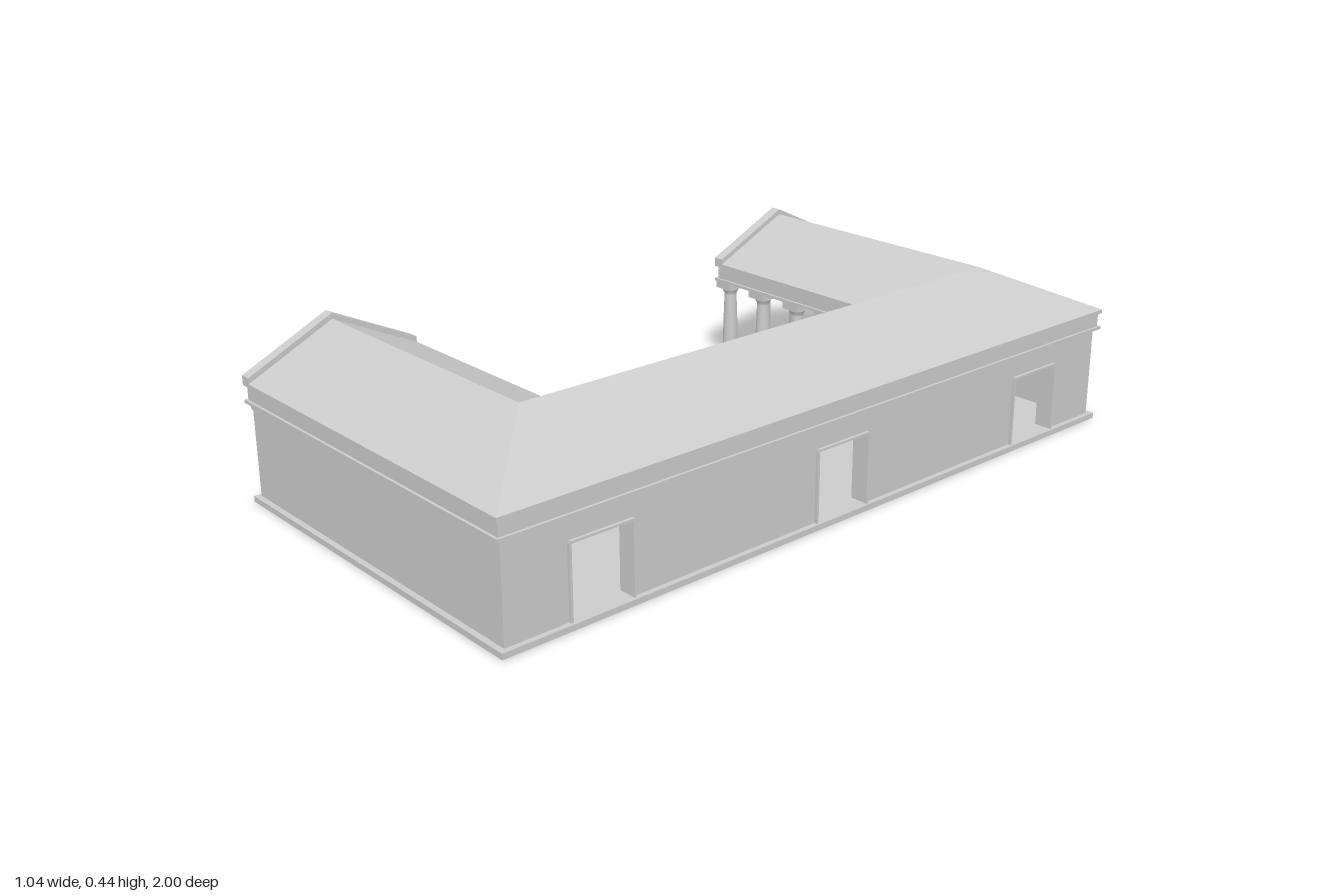
import * as THREE from 'three';

const FLOOR = 0.015, BEAM = 0.26, EAVE = 0.315, RIDGE = 0.428;
const X = 0.52, Z = 1, IN_X = 0.04, IN_Z = 0.53, MID_Z = 0.765, RIDGE_X = 0.28;

export function createModel() {
  const model = new THREE.Group();
  const mat = new THREE.MeshStandardMaterial({ color: 0xcccccc });
  const flat = new THREE.MeshStandardMaterial({ color: 0xcccccc, flatShading: true });

  const add = (name, geo, parent = model, material = flat) => {
    const mesh = new THREE.Mesh(geo, material);
    mesh.name = name;
    parent.add(mesh);
    return mesh;
  };
  const box = (name, x0, x1, y0, y1, z0, z1, parent) =>
    add(name, new THREE.BoxGeometry(x1 - x0, y1 - y0, z1 - z0), parent)
      .position.set((x0 + x1) / 2, (y0 + y1) / 2, (z0 + z1) / 2);

  // U-shaped plan outline, open towards -x, pulled in by d
  const outline = (d) => [
    [-X + d, -Z + d], [X - d, -Z + d], [X - d, Z - d], [-X + d, Z - d],
    [-X + d, IN_Z + d], [IN_X + d, IN_Z + d], [IN_X + d, -IN_Z - d], [-X + d, -IN_Z - d],
  ].map(([x, z]) => new THREE.Vector2(x, z));

  // Layer of the plan between two heights; a width makes it a hollow ring
  const layer = (name, d, y0, y1, width) => {
    const shape = new THREE.Shape(outline(d));
    if (width) shape.holes.push(new THREE.Path(outline(d + width)));
    const geo = new THREE.ExtrudeGeometry(shape, { depth: y1 - y0, bevelEnabled: false });
    add(name, geo.rotateX(-Math.PI / 2).translate(0, y0, 0));
  };
  layer('base', 0, 0, FLOOR);
  layer('architraveBand', 0, BEAM, 0.268, 0.062);
  layer('frieze', 0.007, 0.268, 0.305, 0.05);
  layer('corniceAndCeiling', 0, 0.305, EAVE);

  // Long rear wall with three doorways
  const doors = [-0.73, 0, 0.73], doorHalf = 0.086, doorTop = 0.2;
  const wall = new THREE.Shape();
  wall.moveTo(-0.985, FLOOR);
  for (const z of doors) {
    wall.lineTo(z - doorHalf, FLOOR).lineTo(z - doorHalf, doorTop);
    wall.lineTo(z + doorHalf, doorTop).lineTo(z + doorHalf, FLOOR);
  }
  wall.lineTo(0.985, FLOOR).lineTo(0.985, BEAM + 0.008).lineTo(-0.985, BEAM + 0.008);
  add('longWall', new THREE.ExtrudeGeometry(wall, { depth: 0.04, bevelEnabled: false })
    .rotateY(Math.PI / 2).translate(0.466, 0, 0));

  // Thin linings standing slightly proud of the doorways
  for (const z of doors) {
    const lining = new THREE.Group();
    lining.name = 'doorLining';
    model.add(lining);
    for (const s of [-1, 1]) {
      const edge = z + s * doorHalf;
      box('doorJamb', 0.464, 0.514, FLOOR, doorTop, edge - 0.003, edge + 0.003, lining);
    }
    box('doorLintel', 0.464, 0.514, doorTop - 0.003, doorTop + 0.003, z - doorHalf, z + doorHalf, lining);
  }

  // Wing outer walls with a small cap at the open end
  for (const s of [-1, 1]) {
    const z = s * 0.965;
    box('wingWall', -0.51, 0.467, FLOOR, BEAM + 0.008, z - 0.02, z + 0.02);
    box('wallEndCap', -0.517, -0.47, 0.24, BEAM, z - 0.021, z + 0.021);
  }

  // Columns: tapered shaft, flared capital and square slab
  const profile = [
    [0, 0], [0.0225, 0], [0.0222, 0.06], [0.021, 0.12], [0.018, 0.205],
    [0.0185, 0.21], [0.023, 0.218], [0.027, 0.226], [0, 0.226],
  ].map(([r, y]) => new THREE.Vector2(r, y));
  const shaftGeo = new THREE.LatheGeometry(profile, 20);
  const slabGeo = new THREE.BoxGeometry(0.06, 0.02, 0.06);
  const addColumn = (x, z) => {
    const column = new THREE.Group();
    column.name = 'column';
    column.position.set(x, FLOOR, z);
    add('shaft', shaftGeo, column, mat);
    add('capitalSlab', slabGeo, column).position.y = 0.235;
    model.add(column);
  };
  const colX = IN_X + 0.033, colZ = IN_Z + 0.033, step = 0.14;
  for (let i = 1; i < 8; i++) addColumn(colX, -colZ + (i * colZ) / 4);
  for (const s of [-1, 1]) {
    for (let i = 0; i < 5; i++) addColumn(colX - i * step, s * colZ);
    for (let i = 1; i < 3; i++) addColumn(colX - 4 * step, s * (colZ + i * step));
  }

  // Hipped roof: outer eave, ridge and inner eave swept round the U
  const endX = -0.49;
  const station = (xo, xr, xi, s) => [
    [xo, EAVE, s * Z], [xr, RIDGE, s * MID_Z], [xi, EAVE, s * IN_Z],
  ];
  const stations = [
    station(endX, endX, endX, -1), station(X, RIDGE_X, IN_X, -1),
    station(X, RIDGE_X, IN_X, 1), station(endX, endX, endX, 1),
  ];
  const verts = [];
  const tri = (...p) => p.forEach((v) => verts.push(...v));
  for (let k = 0; k < 3; k++) {
    const a = stations[k], b = stations[k + 1];
    for (let i = 0; i < 3; i++) {
      const j = (i + 1) % 3;
      tri(a[i], a[j], b[i]);
      tri(a[j], b[j], b[i]);
    }
  }
  const [first, last] = [stations[0], stations[3]];
  tri(first[0], first[2], first[1]);
  tri(last[0], last[1], last[2]);
  const roof = new THREE.BufferGeometry();
  roof.setAttribute('position', new THREE.Float32BufferAttribute(verts, 3));
  roof.computeVertexNormals();
  add('roof', roof);

  // Raking cornices framing the recessed gables
  const half = Z - MID_Z;
  const rake = new THREE.Shape([
    [-half, EAVE], [-half + 0.03, EAVE], [0, 0.414], [half - 0.03, EAVE],
    [half, EAVE], [half, 0.33], [0, 0.443], [-half, 0.33],
  ].map(([u, y]) => new THREE.Vector2(u, y)));
  const rakeGeo = new THREE.ExtrudeGeometry(rake, { depth: endX + X, bevelEnabled: false })
    .rotateY(Math.PI / 2);
  for (const s of [-1, 1]) add('gableCornice', rakeGeo).position.set(-X, 0, s * MID_Z);

  return model;
}
